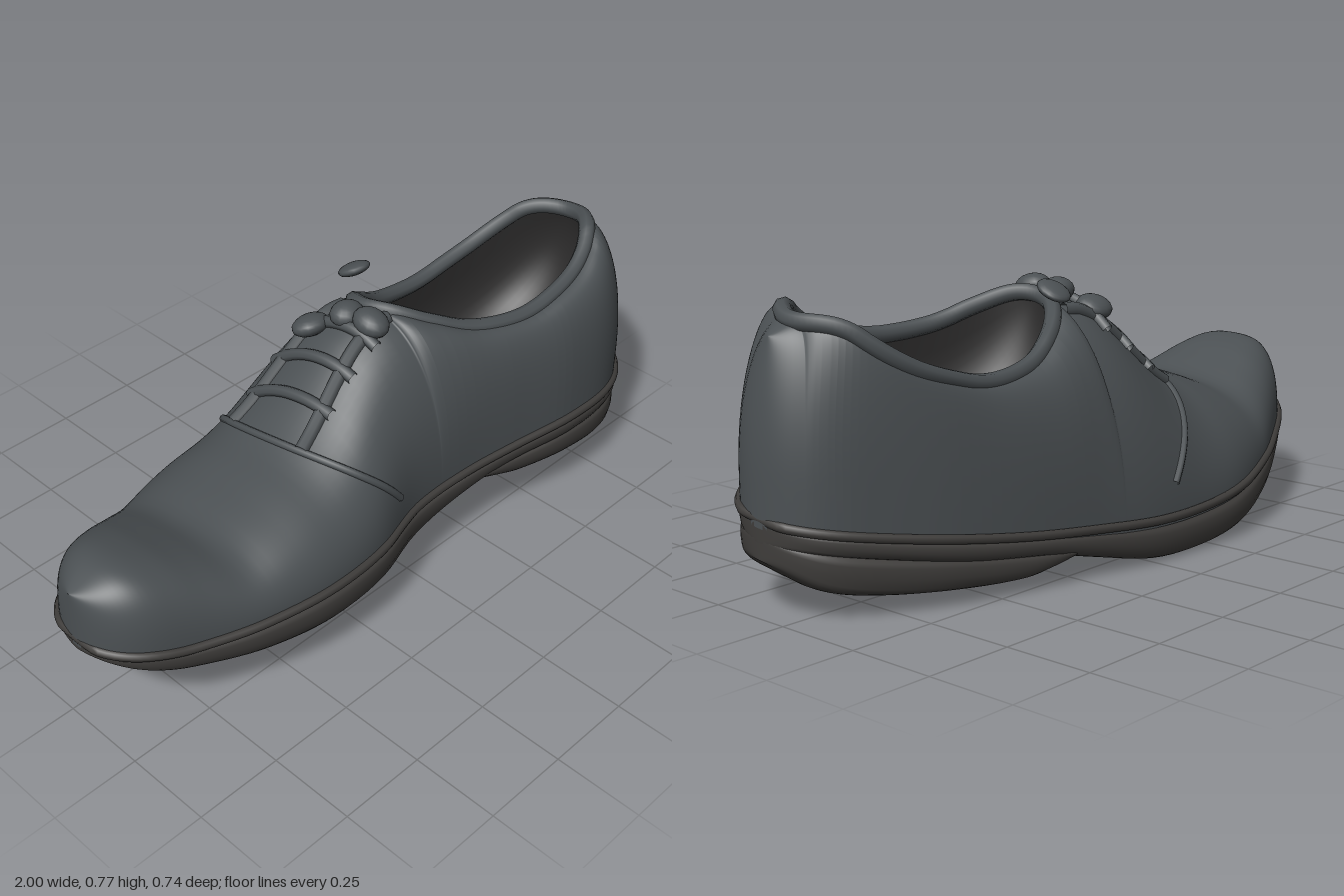
import * as THREE from 'three';
import { mergeVertices } from 'three/addons/utils/BufferGeometryUtils.js';

// Smooth curve through [x, value] pairs
function table(...p) {
  const slope = i => {
    const a = p[Math.max(i - 1, 0)], b = p[Math.min(i + 1, p.length - 1)];
    return (b[1] - a[1]) / (b[0] - a[0]);
  };
  return x => {
    let i = 0;
    while (i < p.length - 2 && x > p[i + 1][0]) i++;
    const [x0, y0] = p[i], [x1, y1] = p[i + 1], d = x1 - x0;
    const t = THREE.MathUtils.clamp((x - x0) / d, 0, 1), t2 = t * t, t3 = t2 * t;
    return y0 * (2 * t3 - 3 * t2 + 1) + y1 * (3 * t2 - 2 * t3)
      + d * (slope(i) * (t3 - 2 * t2 + t) + slope(i + 1) * (t3 - t2));
  };
}

// Plan outline: centre line and half width, rounded off at toe and heel
const centre = table([-1, .06], [-.8, .035], [-.6, .015], [-.4, 0], [-.2, -.012], [0, -.037], [.2, -.02], [.4, .015], [.6, .06], [.8, .092], [1, .08]);
const fullness = table([-1, .45], [-.8, .39], [-.6, .394], [-.4, .396], [-.2, .37], [0, .328], [.2, .316], [.4, .333], [.6, .369], [.8, .405], [1, .43]);
const half = x => fullness(x) * Math.sqrt(Math.max(0, 1 - x * x));
// Heights along the shoe
const crest = table([-1, .44], [-.9, .48], [-.8, .465], [-.7, .425], [-.6, .39], [-.5, .415], [-.4, .445], [-.3, .475], [-.2, .535], [-.1, .62],
  [0, .695], [.1, .72], [.2, .665], [.3, .61], [.4, .585], [.5, .58], [.6, .6], [.7, .63], [.8, .675], [.88, .715], [.95, .715], [1, .68]);
const welt = table([-1, .29], [-.9, .265], [-.8, .24], [-.6, .215], [-.2, .19], [.3, .2], [.7, .22], [1, .24]);
const soleBottom = table([-1, .26], [-.9, .2], [-.8, .155], [-.6, .095], [-.4, .06], [-.2, .05], [0, .06], [.2, .1], [.35, .13], [.6, .14], [1, .18]);
const heelBottom = table([.28, .125], [.34, .1], [.42, .075], [.6, .062], [.8, .06], [.92, .08], [1, .14]);
// Sideways roll, ridge line and roundness of the upper
const roll = table([-1, .05], [-.6, .12], [-.2, .19], [.3, .2], [.8, .16], [1, .12]);
const ridge = table([-1, .05], [-.6, 0], [-.3, -.05], [.1, -.03], [.5, .02], [.95, .06], [1, .08]);
const roundness = table([-1, .7], [-.6, .8], [-.2, 1], [.1, .95], [.3, .75], [1, .7]);
const OPEN_MID = .53, OPEN_HALF = .42;
const openEllipse = x => Math.sqrt(Math.max(0, 1 - ((x - OPEN_MID) / OPEN_HALF) ** 2));
const openHalf = x => .205 * openEllipse(x);

// Final placement: roll to the side, lean the back of the heel forward
function place(x, y, z) {
  y += roll(x) * z;
  const lean = .07 * THREE.MathUtils.smoothstep(x, .6, 1) * (Math.max(0, y - .35) / .4) ** 2;
  return new THREE.Vector3(x - lean, y, z);
}

// Point on the upper: t = 0 at the welt, 1 at the collar or ridge
function upperPoint(x, t, side, lift = 0) {
  const p = roundness(x), a = t * Math.PI / 2;
  const c = t >= 1 ? 0 : Math.cos(a) ** p, s = Math.sin(a) ** p;
  const outer = centre(x) + side * half(x) * .965, rim = ridge(x) + side * openHalf(x);
  const base = welt(x) - .02;
  return place(x, base + (crest(x) - base) * s + lift, THREE.MathUtils.lerp(rim, outer, c));
}

// Surface from a row of points at each station; skip leaves one column open
function surface(xs, n, point, { skip = -1, caps = false } = {}) {
  const pos = [], index = [], row = n + 1;
  xs.forEach(x => { for (let j = 0; j <= n; j++) pos.push(...point(x, j).toArray()); });
  for (let i = 0; i < xs.length - 1; i++) for (let j = 0; j < n; j++) {
    if (j === skip) continue;
    const a = i * row + j, b = a + row;
    index.push(a, b, a + 1, b, b + 1, a + 1);
  }
  if (caps) for (let j = 1; j < n - 1; j++) {
    const e = (xs.length - 1) * row;
    index.push(0, j, j + 1, e, e + j + 1, e + j);
  }
  const g = new THREE.BufferGeometry();
  g.setAttribute('position', new THREE.Float32BufferAttribute(pos, 3));
  g.setIndex(index);
  const m = mergeVertices(g, 1e-5);
  m.computeVertexNormals();
  return m;
}

const stations = (from, to, n) => Array.from({ length: n + 1 }, (_, i) =>
  (from + to) / 2 - (to - from) / 2 * Math.cos(Math.PI * i / n));

// Boxy rounded ring between two heights, used for sole and heel
function slab(xs, low, high, scale) {
  const n = 40, pw = v => Math.sign(v) * Math.abs(v) ** .45;
  return surface(xs, n, (x, j) => {
    const a = j === n ? 0 : j / n * Math.PI * 2, lo = low(x), hi = high(x);
    const s = pw(Math.sin(a)), taper = 1 - .05 * Math.max(0, -s);
    return place(x, (lo + hi) / 2 + (hi - lo) / 2 * s, centre(x) + half(x) * scale * taper * pw(Math.cos(a)));
  }, { caps: true });
}

export function createModel() {
  const shoe = new THREE.Group();
  shoe.name = 'shoe';
  const material = color => new THREE.MeshStandardMaterial({ color, side: THREE.DoubleSide });
  const leather = material(0x4b5053), rubber = material(0x3f3d3b), dark = material(0x2b2a2a);
  const add = (name, geometry, mat) => {
    const mesh = new THREE.Mesh(geometry, mat);
    mesh.name = name;
    shoe.add(mesh);
    return mesh;
  };
  const tube = (name, points, r, mat, closed = false) => add(name,
    new THREE.TubeGeometry(new THREE.CatmullRomCurve3(points, closed), points.length * 3, r, 8, closed), mat);

  // Upper: both sides in one skin, open between the collar edges
  const N = 24, openStations = stations(OPEN_MID - OPEN_HALF, OPEN_MID + OPEN_HALF, 50);
  const xs = [...new Set([...stations(-1, 1, 90), ...openStations])].sort((a, b) => a - b);
  add('upper', surface(xs, 2 * N + 1, (x, j) => j <= N
    ? upperPoint(x, j / N, 1) : upperPoint(x, (2 * N + 1 - j) / N, -1), { skip: N }), leather);

  // Lining: bowl sunk between the collar edges
  add('lining', surface(openStations, 24, (x, j) => {
    const a = j / 24 * Math.PI, depth = (crest(x) - .3) * openEllipse(x);
    return place(x, crest(x) - depth * Math.max(0, Math.sin(a)) ** .6, ridge(x) + openHalf(x) * Math.cos(a));
  }), dark);

  // Padded collar around the opening
  const collar = [];
  for (let i = 0; i < 48; i++) {
    const a = i / 48 * Math.PI * 2;
    collar.push(upperPoint(OPEN_MID + OPEN_HALF * Math.cos(a), 1, Math.sin(a) >= 0 ? 1 : -1));
  }
  tube('collar', collar, .024, leather, true);

  // Sole, heel block and welt
  add('sole', slab(stations(-1, 1, 80), soleBottom, welt, 1), rubber);
  add('heel', slab(stations(.28, 1, 40), heelBottom, x => welt(x) - .04, .985), rubber);
  const weltLine = [];
  for (let i = 0; i < 72; i++) {
    const a = i / 72 * Math.PI * 2, x = .988 * Math.cos(a);
    weltLine.push(place(x, welt(x), centre(x) + Math.sign(Math.sin(a)) * half(x) * .97));
  }
  tube('welt', weltLine, .013, rubber, true);

  // Seam where the toe cap meets the quarters
  const seam = [];
  for (let i = -12; i <= 12; i++) {
    const v = i / 12;
    seam.push(upperPoint(-.28 + .2 * v * v, 1 - .85 * Math.abs(v), i < 0 ? -1 : 1));
  }
  tube('vampSeam', seam, .011, leather);

  // Lacing edges with laces crossing the tongue
  for (const side of [1, -1]) {
    const edge = [];
    for (let i = 0; i <= 8; i++) edge.push(upperPoint(-.26 + .37 * i / 8, .76 + .08 * i / 8, side));
    tube(side > 0 ? 'leftLacingEdge' : 'rightLacingEdge', edge, .02, leather);
  }
  for (const x of [-.17, -.08, .01]) {
    const lace = [];
    for (let i = -4; i <= 4; i++) lace.push(upperPoint(x + .01 * i / 4, 1 - .07 * Math.abs(i), i < 0 ? -1 : 1, .008));
    tube('lace', lace, .017, leather);
  }

  // Knot and loose lace end
  const lump = (name, p, s, tilt) => {
    const m = add(name, new THREE.SphereGeometry(1, 16, 12), leather);
    m.position.set(...p);
    m.scale.set(...s);
    m.rotation.set(tilt, 0, 0);
  };
  lump('knot', [.04, .72, -.03], [.05, .035, .045], 0);
  lump('leftLoop', [.05, .725, .05], [.045, .035, .055], .2);
  lump('rightLoop', [-.02, .675, -.11], [.055, .03, .05], -.4);
  lump('laceEnd', [.19, .742, -.15], [.045, .018, .05], -.5);
  return shoe;
}
